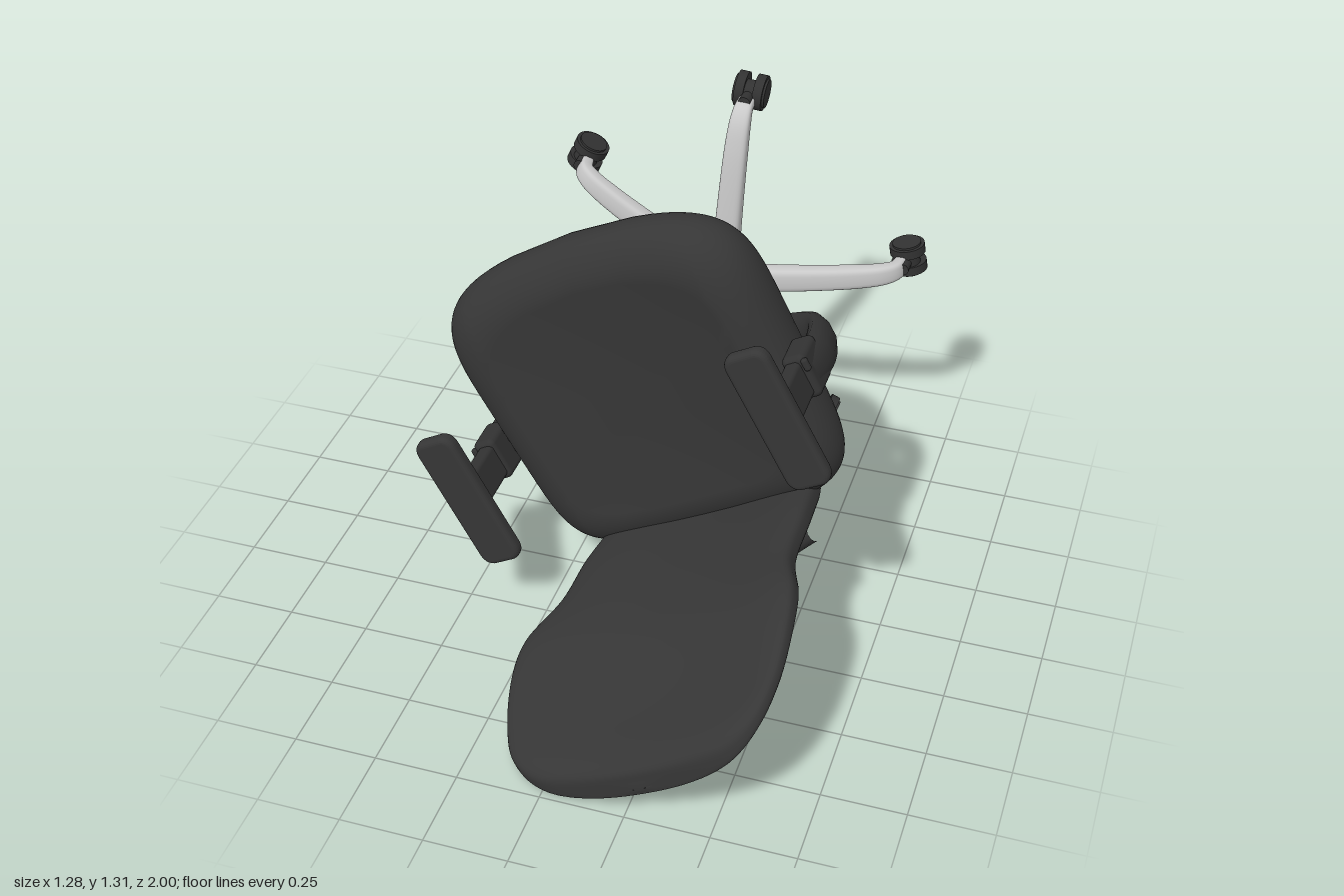
import * as THREE from 'three';
import { RoundedBoxGeometry } from 'three/addons/geometries/RoundedBoxGeometry.js';
import { ParametricGeometry } from 'three/addons/geometries/ParametricGeometry.js';

const V3 = (x, y, z) => new THREE.Vector3(x, y, z);
const mat = (name, color, side = THREE.FrontSide) => {
  const m = new THREE.MeshStandardMaterial({ color, side });
  m.name = name;
  return m;
};
const power = (c, e) => Math.sign(c) * Math.abs(c) ** e;

export function createModel() {
  const fabric = mat('charcoal fabric', 0x363636);
  const plastic = mat('dark plastic', 0x323232);
  const mesh = mat('black mesh', 0x2c2c2c, THREE.DoubleSide);
  const metal = mat('brushed aluminium', 0xc8c8c8);

  const model = new THREE.Group();
  model.name = 'recliningOfficeChair';
  // The chair lies on its side: its own up is +z, its front is +y, turned about z
  const upper = new THREE.Group();
  upper.name = 'upperChair';
  upper.position.set(0.01, 0.65, 0);
  upper.rotation.z = THREE.MathUtils.degToRad(28.5);
  const base = new THREE.Group();
  base.name = 'starBase';
  base.position.set(0.01, 0.65, 0);
  model.add(upper, base);

  const add = (parent, name, geo, material, x = 0, y = 0, z = 0) => {
    const m = new THREE.Mesh(geo, material);
    m.name = name;
    m.position.set(x, y, z);
    parent.add(m);
    return m;
  };
  const upright = (rTop, rBottom, h, n = 32) => new THREE.CylinderGeometry(rTop, rBottom, h, n).rotateX(Math.PI / 2);
  const wheelDisc = (r, h) => new THREE.CylinderGeometry(r, r, h, 28).rotateZ(Math.PI / 2);
  const box = (w, l, h, r = 0.015) => new RoundedBoxGeometry(w, l, h, 3, r);
  const tube = (pts, r, closed = false, n = 48) => new THREE.TubeGeometry(new THREE.CatmullRomCurve3(pts, closed), n, r, 10, closed);

  // Seat cushion: rounded plan with a full round edge and a dished top
  const seatGeo = new ParametricGeometry((s, t, p) => {
    const a = s * Math.PI * 2, R = 0.13;
    let inset, z, k = 1;
    if (t < 0.2) { k = t / 0.2; inset = R; z = -R; }
    else if (t > 0.7) { k = (1 - t) / 0.3; inset = R; z = R; }
    else { const f = ((t - 0.2) / 0.5 - 0.5) * Math.PI; inset = R * (1 - Math.cos(f)); z = R * Math.sin(f); }
    const cx = power(Math.cos(a), 0.34), cy = power(Math.sin(a), 0.34);
    const half = 0.52 + 0.015 * cy;
    const x = (half - inset) * k * cx;
    const bow = cy > 0 ? 0.08 * cy * (1 - cx * cx) : -0.02 * (1 - cx * cx);
    const y = 0.045 + (0.465 - inset) * k * cy + bow * k;
    // Sides of the top stand higher than the middle
    const dish = THREE.MathUtils.smoothstep(z, 0, R) * 0.03 * Math.max(0, 1 - (x / 0.39) ** 2);
    p.set(x, y, z - 0.055 - dish - (t > 0.7 ? 0.012 * (1 - k * k) : 0));
  }, 96, 44);
  add(upper, 'seatCushion', seatGeo, fabric);
  add(upper, 'seatPan', box(0.76, 0.68, 0.04), plastic, 0, 0.02, -0.185);

  // Backrest shell: curved cross-sections (half width, edge depth, height)
  const backCurve = new THREE.CatmullRomCurve3([
    V3(0.37, -0.39, -0.03), V3(0.39, -0.38, 0.15), V3(0.40, -0.38, 0.35), V3(0.46, -0.395, 0.52), V3(0.47, -0.415, 0.63),
    V3(0.45, -0.46, 0.8), V3(0.40, -0.49, 0.92), V3(0.31, -0.515, 0.98), V3(0.01, -0.53, 1.0),
  ], false, 'centripetal');
  const bend = (x) => -0.07 * (1 - (x / 0.46) ** 2);
  const c = V3(0, 0, 0);
  add(upper, 'backrest', new ParametricGeometry((s, t, p) => {
    backCurve.getPoint(t, c);
    const a = s * Math.PI * 2, sin = Math.sin(a);
    const padding = sin > 0 ? 0.045 - 0.025 * THREE.MathUtils.smoothstep(c.z, 0.5, 0.85) : 0;
    const thick = (0.036 + padding) * Math.sqrt(Math.min(1, (1 - t) / 0.125)) * Math.min(1, t / 0.02);
    const x = c.x * power(Math.cos(a), 0.6);
    p.set(x, c.y + bend(x) + thick * power(sin, 0.6), c.z);
  }, 64, 72), fabric);

  // Point on the rear of the backrest at a given x and height
  const rear = (x, z, out) => {
    let lo = 0, hi = 1;
    for (let i = 0; i < 45; i++) {
      const m = (lo + hi) / 2;
      if (backCurve.getPoint(m, c).z < z) lo = m; else hi = m;
    }
    return V3(x, c.y + bend(x) - 0.036 - out, z);
  };
  const rearPanel = (name, z0, z1, w0, w1) => {
    const panel = new ParametricGeometry((s, t, p) => {
      const edge = 1 - 0.12 * Math.abs(2 * t - 1) ** 6;
      const w = THREE.MathUtils.lerp(w0, w1, t) * edge;
      p.copy(rear(w * (2 * s - 1), THREE.MathUtils.lerp(z0, z1, t), 0.006));
    }, 24, 40);
    add(upper, name, panel, mesh);
    const rim = [];
    for (let i = 0; i < 32; i++) {
      const a = i / 32 * Math.PI * 2, k = (1 + power(Math.sin(a), 0.35)) / 2;
      rim.push(rear(power(Math.cos(a), 0.35) * THREE.MathUtils.lerp(w0, w1, k), THREE.MathUtils.lerp(z0, z1, k), 0));
    }
    add(upper, name + 'Rim', tube(rim, 0.014, true, 96), plastic);
  };
  rearPanel('upperBackPanel', 0.45, 0.9, 0.36, 0.33);
  rearPanel('lumbarPanel', 0.19, 0.35, 0.32, 0.32);
  for (const z of [0.37, 0.16]) {
    const pts = [-0.38, -0.2, 0, 0.2, 0.38].map((x) => rear(x, z, 0.01 + 0.03 * (1 - (x / 0.38) ** 2)));
    add(upper, 'backCrossbar', tube(pts, 0.025), plastic);
  }
  for (const s of [-1, 1]) {
    add(upper, 'lumbarStrut', tube([rear(s * 0.07, 0.16, 0.03), rear(s * 0.06, 0.27, 0.02), rear(s * 0.07, 0.37, 0.03)], 0.018), plastic);
  }

  // Aluminium upright carrying the backrest
  const post = add(upper, 'backUpright', box(0.11, 0.08, 0.42), metal, 0, -0.55, -0.06);
  post.rotation.x = -0.19;

  // Curved tilt arm below the seat, narrowing towards its rear end
  const armShape = new THREE.Shape();
  armShape.moveTo(-0.64, -0.25);
  armShape.splineThru([[-0.57, -0.23], [-0.45, -0.25], [-0.3, -0.22], [-0.1, -0.22], [-0.08, -0.3], [-0.18, -0.39],
    [-0.3, -0.415], [-0.45, -0.4], [-0.58, -0.355], [-0.655, -0.3], [-0.64, -0.25]].map((q) => new THREE.Vector2(...q)));
  const armGeo = new THREE.ExtrudeGeometry(armShape, { depth: 0.12, bevelSize: 0.02, bevelThickness: 0.035, bevelSegments: 5, curveSegments: 40 });
  // Turn the profile so that its plane becomes depth and height
  armGeo.translate(0, 0, -0.06).applyMatrix4(new THREE.Matrix4().makeBasis(V3(0, 1, 0), V3(0, 0, 1), V3(1, 0, 0)));
  const armPos = armGeo.attributes.position;
  for (let i = 0; i < armPos.count; i++) {
    armPos.setX(i, armPos.getX(i) * THREE.MathUtils.mapLinear(armPos.getY(i), -0.67, -0.3, 0.65, 1.1));
  }
  armGeo.computeVertexNormals();
  add(upper, 'tiltArm', armGeo, plastic);
  for (const s of [-1, 1]) add(upper, 'tiltPivot', wheelDisc(0.03, 0.012), plastic, s * 0.108, -0.26, -0.3);

  // Mechanism, tension knob and levers
  add(upper, 'mechanismHousing', box(0.25, 0.46, 0.11, 0.03), plastic, 0, 0.04, -0.24);
  add(upper, 'columnSocket', upright(0.1, 0.075, 0.08), plastic, 0, 0, -0.315);
  add(upper, 'knobStem', upright(0.035, 0.035, 0.14), plastic, 0, 0.19, -0.31);
  add(upper, 'tensionKnob', upright(0.06, 0.055, 0.12, 20), plastic, 0, 0.19, -0.4);
  add(upper, 'leverRod', box(0.76, 0.02, 0.02, 0.008), plastic, 0, 0.0, -0.235);
  add(upper, 'leverPaddle', box(0.12, 0.05, 0.018, 0.008), plastic, -0.36, 0.02, -0.24);

  // Armrests, mirrored
  const padShape = new THREE.Shape();
  padShape.moveTo(-0.03, 0.215).lineTo(0.03, 0.215).quadraticCurveTo(0.052, 0.215, 0.052, 0.185).lineTo(0.052, -0.185)
    .quadraticCurveTo(0.052, -0.215, 0.03, -0.215).lineTo(-0.03, -0.215).quadraticCurveTo(-0.052, -0.215, -0.052, -0.185)
    .lineTo(-0.052, 0.185).quadraticCurveTo(-0.052, 0.215, -0.03, 0.215);
  const padGeo = new THREE.ExtrudeGeometry(padShape, { depth: 0.01, bevelSize: 0.017, bevelThickness: 0.018, bevelSegments: 5, curveSegments: 8 });
  for (const s of [-1, 1]) {
    const arm = new THREE.Group();
    arm.name = s < 0 ? 'rightArmrest' : 'leftArmrest';
    arm.position.x = 0.005;
    upper.add(arm);
    add(arm, 'armPad', padGeo, fabric, s * 0.535, 0.025, 0.29);
    add(arm, 'padTray', box(0.08, 0.2, 0.03, 0.01), plastic, s * 0.54, 0.02, 0.266);
    add(arm, 'armPost', box(0.05, 0.115, 0.24), plastic, s * 0.54, 0.02, 0.15);
    add(arm, 'postSleeve', box(0.075, 0.145, 0.13, 0.02), plastic, s * 0.545, 0.02, 0.03);
    const bracket = tube([V3(s * 0.55, 0, 0.06), V3(s * 0.56, 0, -0.08), V3(s * 0.53, 0, -0.17), V3(s * 0.42, 0, -0.215), V3(s * 0.25, 0, -0.215)], 0.036);
    add(arm, 'armBracket', bracket.scale(1, 1.9, 1), plastic, 0, 0.015, 0);
    add(arm, 'bracketPlate', box(0.16, 0.26, 0.04), plastic, s * 0.36, 0, -0.21);
    add(arm, 'sleeveButton', box(0.02, 0.04, 0.02, 0.008), plastic, s * 0.58, 0.06, 0.09);
  }

  // Gas column and hub
  add(base, 'gasLift', upright(0.05, 0.05, 0.27), plastic, 0, 0, -0.46);
  add(base, 'columnCover', upright(0.08, 0.072, 0.16), plastic, 0, 0, -0.655);
  add(base, 'hub', upright(0.088, 0.06, 0.11), metal, 0, 0, -0.78);
  add(base, 'columnFoot', upright(0.04, 0.034, 0.08), plastic, 0, 0, -0.865);

  // Five tapered legs with twin-wheel casters: caster x, y and wheel axis angle
  const casters = [[0.03, 0.6, -0.08], [-0.52, 0.28, 1.15], [-0.38, -0.43, -0.4], [0.31, -0.57, -0.4], [0.57, 0.09, 1.75]];
  for (const [cx, cy, turn] of casters) {
    const len = Math.hypot(cx, cy);
    const path = new THREE.CatmullRomCurve3([V3(0.04, 0, -0.775), V3(0.25, 0, -0.782), V3(len - 0.14, 0, -0.803),
      V3(len - 0.055, 0, -0.825), V3(len - 0.022, 0, -0.85), V3(len - 0.012, 0, -0.89)], false, 'centripetal');
    const legGeo = new ParametricGeometry((s, t, p) => {
      const a = s * Math.PI * 2, d = path.getTangent(t);
      path.getPoint(t, p);
      const side = power(Math.cos(a), 0.55) * (0.044 - 0.018 * t);
      const lift = power(Math.sin(a), 0.55) * (0.034 - 0.014 * t);
      p.set(p.x - d.z * lift, side, p.z + d.x * lift);
    }, 24, 40);
    add(base, 'leg', legGeo, metal).rotation.z = Math.atan2(cy, cx);

    const caster = new THREE.Group();
    caster.name = 'caster';
    caster.position.set(cx, cy, -0.943);
    caster.rotation.z = turn;
    base.add(caster);
    for (const s of [-1, 1]) {
      add(caster, 'wheel', wheelDisc(0.057, 0.03), plastic, s * 0.03, 0, 0);
      add(caster, 'wheelCap', wheelDisc(0.046, 0.008), plastic, s * 0.048, 0, 0);
    }
    add(caster, 'casterHood', wheelDisc(0.04, 0.04), plastic, 0, 0, 0.012);
    add(caster, 'casterStem', upright(0.02, 0.02, 0.06, 16), plastic, 0, 0, 0.06);
  }
  return model;
}
